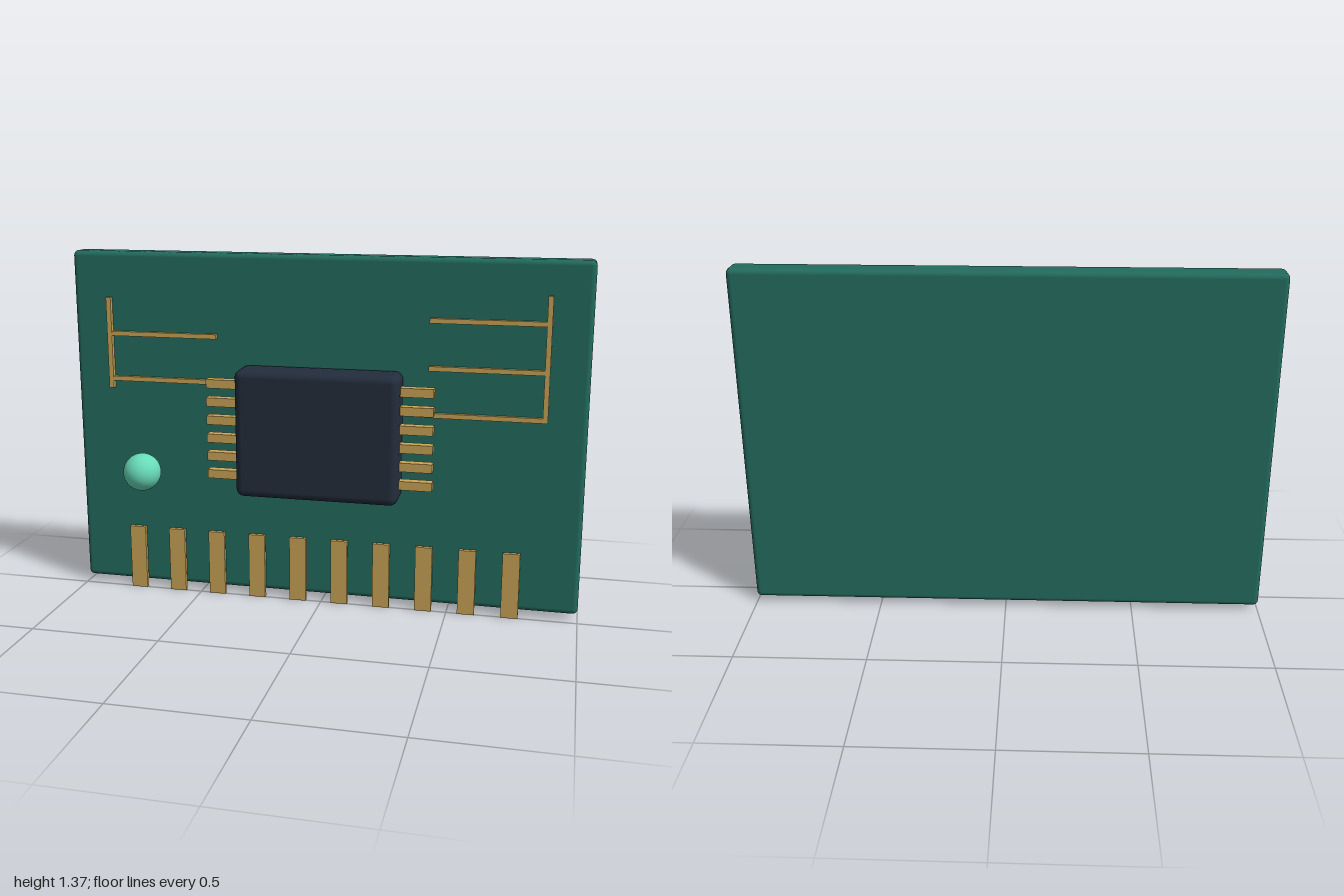
import * as THREE from 'three';
import { RoundedBoxGeometry } from 'three/addons/geometries/RoundedBoxGeometry.js';

export function createModel() {
  const root = new THREE.Group();
  root.name = 'circuitBoard';

  const material = (name, color) => {
    const m = new THREE.MeshStandardMaterial({ color });
    m.name = name;
    return m;
  };
  const green = material('boardGreen', 0x236b5e);
  const gold = material('contactGold', 0xcba656);
  const dark = material('chipNavy', 0x232d3c);
  const mint = material('lampMint', 0x68dbb8);

  const add = (parent, name, geometry, mat, x, y, z) => {
    const mesh = new THREE.Mesh(geometry, mat);
    mesh.name = name;
    mesh.position.set(x, y, z);
    parent.add(mesh);
    return mesh;
  };
  const group = (name) => {
    const g = new THREE.Group();
    g.name = name;
    root.add(g);
    return g;
  };

  // Board slab
  add(root, 'board', new RoundedBoxGeometry(2, 1.345, 0.096, 3, 0.02), green, 0, 0.698, -0.066);

  // Chip body
  add(root, 'chip', new RoundedBoxGeometry(0.63, 0.498, 0.145, 4, 0.03), dark, 0, 0.697, 0.039);

  // Chip legs, six on each side
  const legs = group('chipLegs');
  const legGeometry = new THREE.BoxGeometry(0.15, 0.034, 0.038);
  for (const side of [-1, 1]) {
    for (let i = 0; i < 6; i++) {
      add(legs, 'chipLeg', legGeometry, gold, side * 0.365, 0.52 + i * 0.0718, 0.039);
    }
  }

  // Edge contacts along the bottom
  const contacts = group('edgeContacts');
  const contactGeometry = new THREE.BoxGeometry(0.066, 0.261, 0.016);
  for (let i = 0; i < 10; i++) {
    add(contacts, 'edgeContact', contactGeometry, gold, -0.764 + i * 0.1675, 0.131, -0.003);
  }

  // Raised traces: one upright with horizontal branches [y, inner x]
  const traces = group('traces');
  const addTrace = (x, bottom, top, branches) => {
    add(traces, 'traceUpright', new THREE.BoxGeometry(0.019, top - bottom, 0.018),
      gold, x, (bottom + top) / 2, -0.005);
    for (const [y, inner] of branches) {
      add(traces, 'traceBranch', new THREE.BoxGeometry(Math.abs(x - inner), 0.018, 0.016),
        gold, (x + inner) / 2, y, -0.006);
    }
  };
  addTrace(-0.85, 0.835, 1.193, [[1.052, -0.414], [0.873, -0.395]]);
  addTrace(0.845, 0.775, 1.243, [[1.141, 0.411], [0.962, 0.411], [0.784, 0.38]]);

  // Indicator lamp
  add(root, 'lamp', new THREE.SphereGeometry(0.075, 32, 20), mint, -0.721, 0.505, 0.04);

  return root;
}
